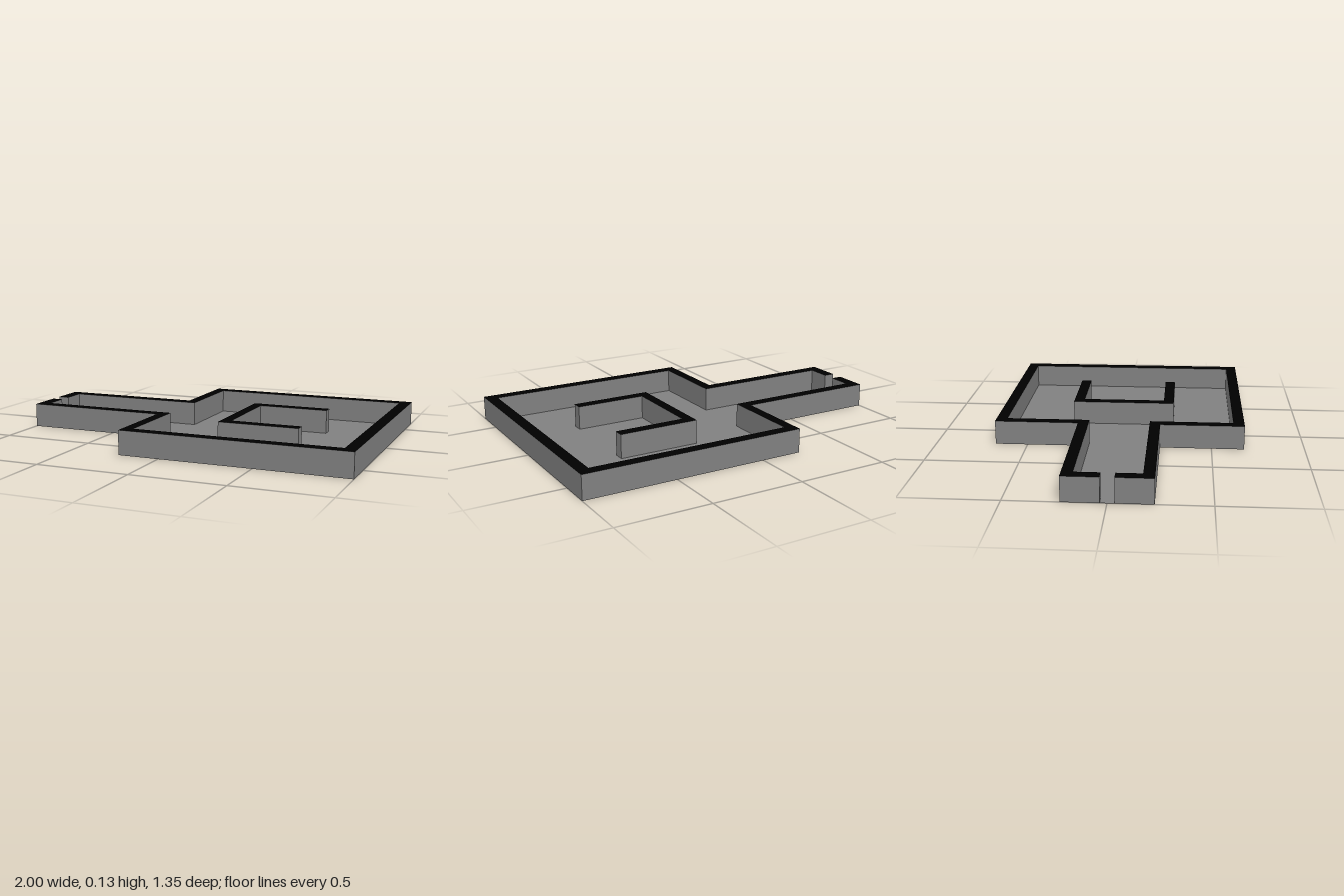
import * as THREE from 'three';
import { mergeGeometries } from 'three/addons/utils/BufferGeometryUtils.js';

const H = 0.13; // wall height
const grey = new THREE.MeshStandardMaterial({ color: 0x808080, side: THREE.DoubleSide });
const black = new THREE.MeshStandardMaterial({ color: 0x000000, side: THREE.DoubleSide });

// Complete a half outline (points as [x, -z]) by mirroring it across the x axis
const mirrored = half => [...half, ...half.map(([x, y]) => [x, -y]).reverse()];

// Flat horizontal polygon at height y, facing up
function slab(name, points, y, material) {
  const shape = new THREE.Shape(points.map(p => new THREE.Vector2(...p)));
  const geo = new THREE.ShapeGeometry(shape).rotateX(-Math.PI / 2).translate(0, y, 0);
  const mesh = new THREE.Mesh(geo, material);
  mesh.name = name;
  return mesh;
}

// Hollow wall, open underneath: one upright panel per outline edge plus a black cap
function wall(name, points) {
  const panels = points.map(([x0, y0], i) => {
    const [x1, y1] = points[(i + 1) % points.length];
    const dx = x1 - x0, dy = y1 - y0;
    return new THREE.PlaneGeometry(Math.hypot(dx, dy), H)
      .rotateY(Math.atan2(dy, dx))
      .translate((x0 + x1) / 2, H / 2, -(y0 + y1) / 2);
  });
  const sides = new THREE.Mesh(mergeGeometries(panels), grey);
  sides.name = name + 'Sides';
  const group = new THREE.Group();
  group.name = name;
  group.add(sides, slab(name + 'Top', points, H, black));
  return group;
}

export function createModel() {
  const model = new THREE.Group();
  model.name = 'roomWithCorridor';

  // Outer and inner half outlines, from the doorway round to the far wall
  const outer = [[-1, -0.035], [-1, -0.222], [-0.222, -0.222], [-0.222, -0.675], [1, -0.675]];
  const inner = [[-0.94, -0.035], [-0.94, -0.165], [-0.167, -0.165], [-0.167, -0.616], [0.938, -0.616]];

  // Perimeter wall: round the outside, through the doorway, back along the inside
  model.add(wall('perimeterWall', [...mirrored(outer), ...mirrored(inner).reverse()]));

  // C-shaped partition in the middle of the room
  model.add(wall('partitionWall', mirrored([
    [0.165, -0.288], [0.61, -0.288], [0.61, -0.231], [0.22, -0.231],
  ])));

  // Floor, running out through the doorway
  model.add(slab('floor', mirrored([[-1, -0.035], ...inner]), 0, grey));
  return model;
}
